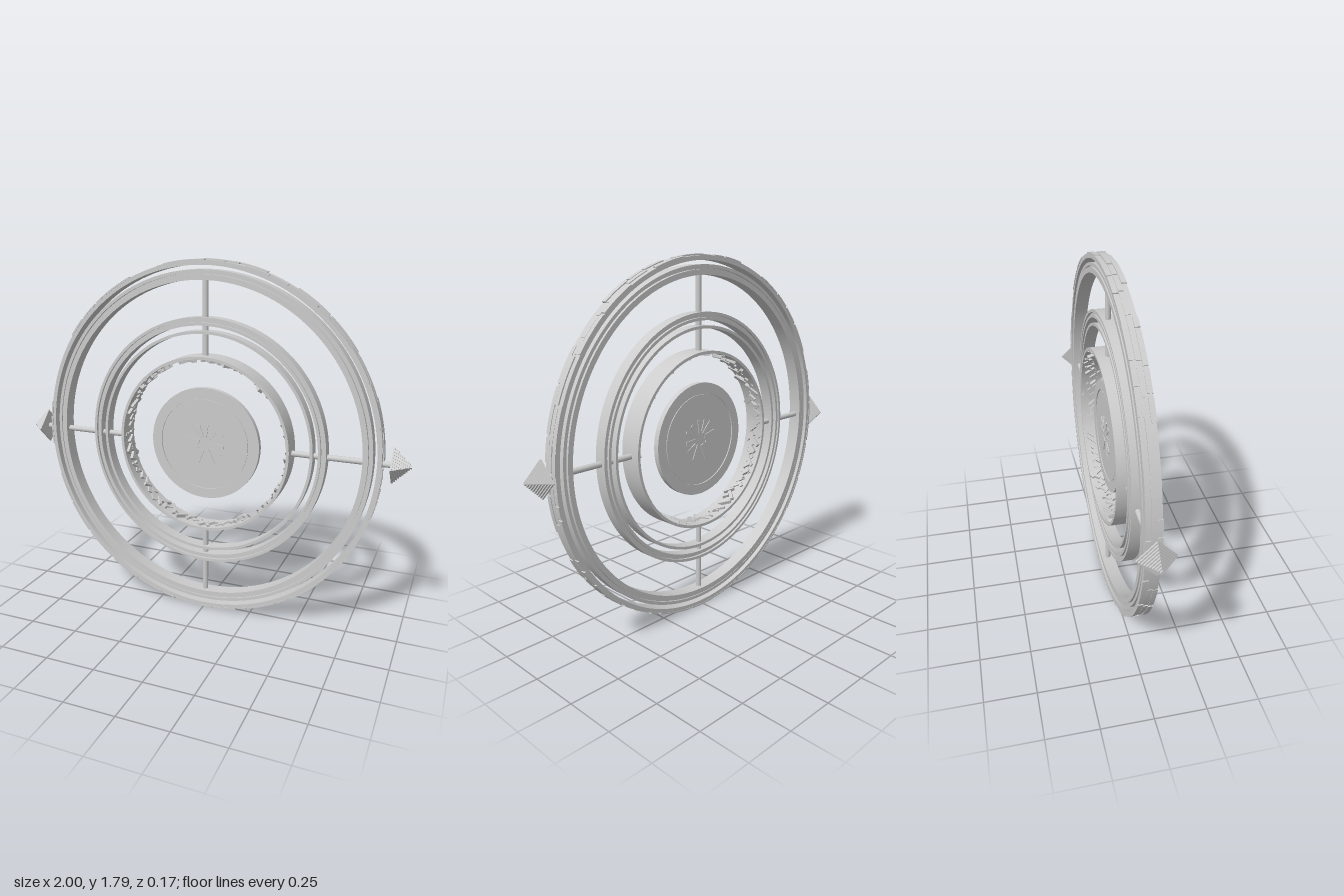
import * as THREE from 'three';
import { mergeGeometries, toCreasedNormals } from 'three/addons/utils/BufferGeometryUtils.js';

const CY = 0.9;        // height of the common centre
const OVAL = 0.98;     // the large rings are slightly narrower than tall

const mat = new THREE.MeshStandardMaterial({ color: 0xcccccc });

function mesh(name, geometry) {
  const m = new THREE.Mesh(geometry, mat);
  m.name = name;
  return m;
}

// Small seeded generator for the surface panels
function seeded(seed) {
  let s = seed;
  return () => {
    s = (s * 16807) % 2147483647;
    return s / 2147483647;
  };
}

function extrude(shape, z0, z1, segments) {
  const g = new THREE.ExtrudeGeometry(shape, { depth: z1 - z0, bevelEnabled: false, curveSegments: segments });
  g.translate(0, 0, z0);
  return g;
}

// Flat band between two radii, centred on z = 0
function band(rIn, rOut, halfDepth) {
  const s = new THREE.Shape();
  s.absarc(0, 0, rOut, 0, Math.PI * 2, false);
  const hole = new THREE.Path();
  hole.absarc(0, 0, rIn, 0, Math.PI * 2, true);
  s.holes.push(hole);
  return toCreasedNormals(extrude(s, -halfDepth, halfDepth, 128), 0.5);
}

// Curved plate covering part of a band
function plate(rIn, rOut, a0, a1, z0, z1) {
  const s = new THREE.Shape();
  s.absarc(0, 0, rOut, a0, a1, false);
  s.absarc(0, 0, rIn, a1, a0, true);
  return extrude(s, z0, z1, Math.max(2, Math.ceil((a1 - a0) * 20)));
}

function rod(name, from, to, horizontal) {
  const g = new THREE.CylinderGeometry(0.014, 0.014, to - from, 16);
  g.translate(0, (from + to) / 2, 0);
  if (horizontal) g.rotateZ(-Math.PI / 2);
  return mesh(name, g);
}

function outerRing() {
  const group = new THREE.Group();
  group.name = 'outerRing';
  group.add(mesh('outerRim', band(0.868, 0.889, 0.035)));
  group.add(mesh('outerMiddleBand', band(0.832, 0.848, 0.03)));
  group.add(mesh('outerInnerBand', band(0.8, 0.826, 0.034)));
  group.add(mesh('outerWeb', band(0.82, 0.84, 0.018)));

  // Staggered rows of raised panels around the rim
  const rnd = seeded(71);
  const panels = [];
  const rows = [[-0.037, -0.013], [-0.011, 0.012], [0.014, 0.037]];
  for (const [z0, z1] of rows) {
    let a = rnd() * 0.1;
    const end = a + Math.PI * 2 - 0.08;
    while (a < end) {
      const span = Math.min(0.05 + rnd() * 0.2, end - a);
      if (rnd() > 0.25) panels.push(plate(0.886, 0.891 + rnd() * 0.005, a, a + span, z0, z1));
      a += span + 0.012;
    }
  }
  group.add(mesh('rimPanels', toCreasedNormals(mergeGeometries(panels), 0.5)));
  group.scale.x = OVAL;
  return group;
}

function middleRing() {
  const group = new THREE.Group();
  group.name = 'middleRing';
  group.add(mesh('middleOuterBand', band(0.614, 0.628, 0.03)));
  group.add(mesh('middleStep', band(0.6, 0.616, 0.018)));
  group.add(mesh('middleCentreBand', band(0.588, 0.602, 0.03)));
  group.add(mesh('middleInnerBand', band(0.549, 0.563, 0.03)));
  group.scale.x = OVAL;
  return group;
}

function innerRing() {
  const group = new THREE.Group();
  group.name = 'innerRing';
  group.add(mesh('innerBand', band(0.43, 0.444, 0.056)));

  // Slanted blocks lining the inside
  const rnd = seeded(19);
  const blocks = [];
  const count = 130;
  for (let i = 0; i < count; i++) {
    const depth = 0.008 + rnd() * 0.014;
    const g = new THREE.BoxGeometry(depth, 0.01 + rnd() * 0.014, 0.03 + rnd() * 0.04);
    g.rotateX((i % 2 ? 1 : -1) * 0.7);
    g.translate(0.434 - depth / 2, 0, (rnd() - 0.5) * 0.05);
    g.rotateZ((i + rnd() * 0.5) / count * Math.PI * 2);
    blocks.push(g);
  }
  group.add(mesh('innerBlocks', mergeGeometries(blocks)));
  return group;
}

function centreDisc() {
  const group = new THREE.Group();
  group.name = 'centreDisc';
  const plateGeo = new THREE.CylinderGeometry(0.226, 0.226, 0.024, 96);
  plateGeo.rotateX(Math.PI / 2);
  group.add(mesh('discPlate', plateGeo));
  group.add(mesh('discRim', band(0.234, 0.284, 0.014)));
  group.add(mesh('discGroove', band(0.22, 0.24, 0.008)));

  // Irregular radial ribs on both faces: angle in degrees, start, end, width
  const ribs = [
    [-112, 0.03, 0.11, 0.022], [-66, 0.03, 0.11, 0.022], [-30, 0.04, 0.1, 0.012],
    [-4, 0.03, 0.1, 0.02], [28, 0.05, 0.11, 0.014], [52, 0.03, 0.1, 0.02],
    [82, 0.03, 0.1, 0.012], [108, 0.04, 0.1, 0.012], [132, 0.03, 0.11, 0.018],
    [166, 0.03, 0.1, 0.022], [206, 0.04, 0.1, 0.014]
  ];
  const parts = ribs.map(([deg, r0, r1, w]) => {
    const g = new THREE.BoxGeometry(r1 - r0, w, 0.032);
    g.translate((r0 + r1) / 2, 0, 0);
    g.rotateZ(deg * Math.PI / 180);
    return g;
  });
  group.add(mesh('discRibs', mergeGeometries(parts)));
  return group;
}

// Stepped four-sided point, tip outward along side * x
function steppedPoint(side) {
  const layers = 10, x0 = 0.913, x1 = 1, t = (x1 - x0) / layers;
  const parts = [];
  for (let i = 0; i < layers; i++) {
    const w = 0.087 * (1 - i / layers) * Math.SQRT2;
    const g = new THREE.BoxGeometry(t, w, w);
    g.rotateX(Math.PI / 4);
    g.translate(side * (x0 + (i + 0.5) * t), 0, 0);
    parts.push(g);
  }
  return mesh(side > 0 ? 'leftPoint' : 'rightPoint', mergeGeometries(parts));
}

export function createModel() {
  const model = new THREE.Group();
  model.name = 'ringedEmblem';
  const body = new THREE.Group();
  body.name = 'body';
  body.position.y = CY;
  body.add(outerRing(), middleRing(), innerRing(), centreDisc());

  // Rods joining the rings, and the side points
  body.add(rod('topRod', 0.436, 0.805, false), rod('bottomRod', -0.805, -0.436, false));
  body.add(rod('leftRod', 0.432, 0.79, true), rod('rightRod', -0.79, -0.425, true));
  body.add(rod('leftPointRod', 0.86, 0.92, true), rod('rightPointRod', -0.92, -0.86, true));
  body.add(steppedPoint(1), steppedPoint(-1));

  model.add(body);
  return model;
}
